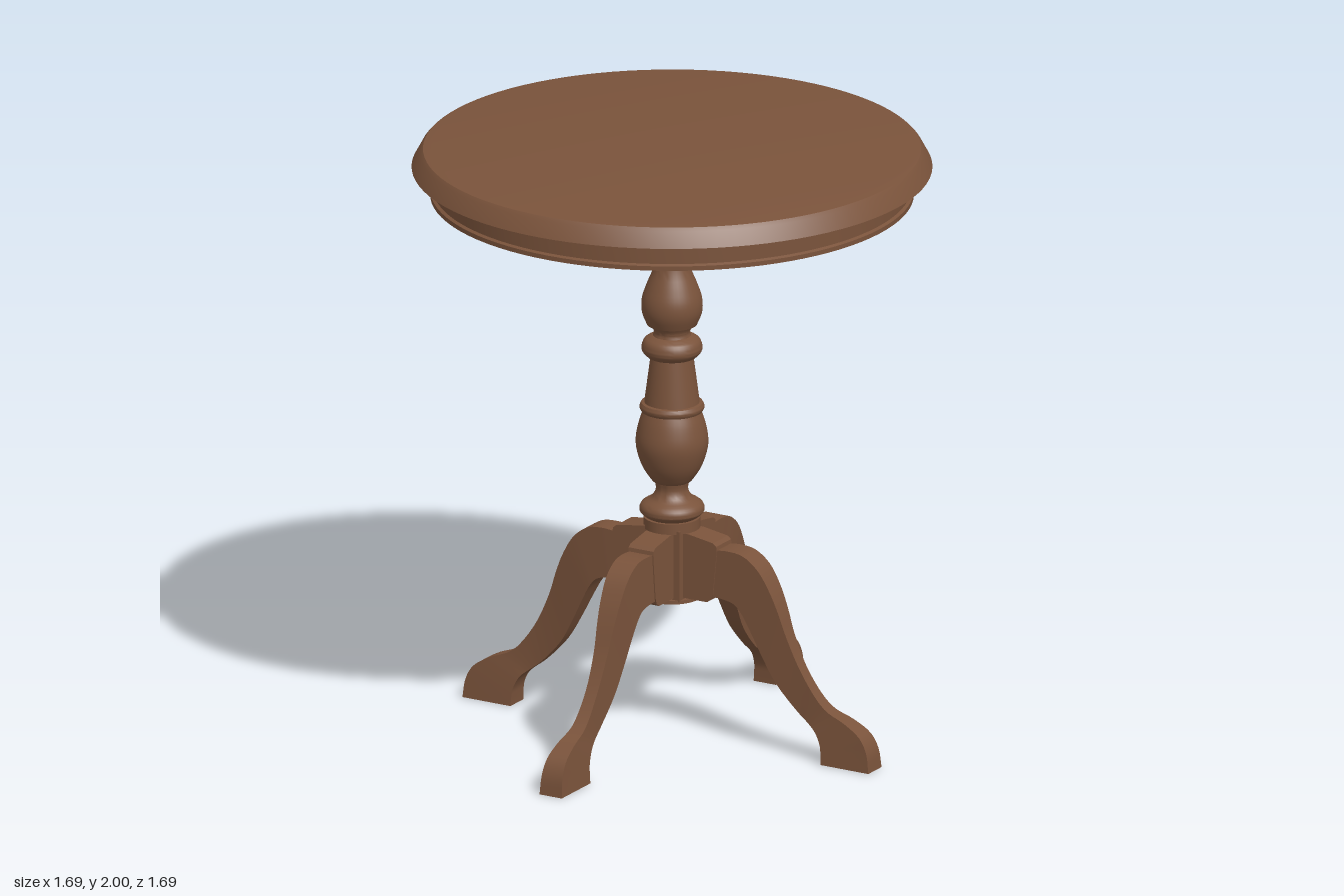
import * as THREE from 'three';
import { toCreasedNormals } from 'three/addons/utils/BufferGeometryUtils.js';

const wood = new THREE.MeshStandardMaterial({ color: 0x7a533b });

function add(parent, name, geometry, y = 0) {
  const mesh = new THREE.Mesh(geometry, wood);
  mesh.name = name;
  mesh.position.y = y;
  parent.add(mesh);
  return mesh;
}

// Turned part from [radius, height] pairs listed bottom to top
function turned(points, segments) {
  const profile = points.map(([r, y]) => new THREE.Vector2(r, y));
  return toCreasedNormals(new THREE.LatheGeometry(profile, segments), 0.6);
}

// Smooth run of [radius, height] pairs
function smooth(points, samples) {
  const curve = new THREE.SplineCurve(points.map(p => new THREE.Vector2(...p)));
  return curve.getPoints(samples).map(p => [p.x, p.y]);
}

// Rectangular section swept between an upper and a lower edge; stations are
// [upperX, upperY, lowerX, lowerY, halfWidth]
function legGeometry(stations, samples) {
  const upper = new THREE.CatmullRomCurve3(stations.map(s => new THREE.Vector3(s[0], s[1], s[4])));
  const lower = new THREE.CatmullRomCurve3(stations.map(s => new THREE.Vector3(s[2], s[3], s[4])));
  const positions = [], index = [];
  for (let i = 0; i <= samples; i++) {
    const a = upper.getPoint(i / samples), b = lower.getPoint(i / samples);
    positions.push(a.x, a.y, a.z, a.x, a.y, -a.z, b.x, b.y, -b.z, b.x, b.y, b.z);
  }
  for (let i = 0; i < samples; i++) {
    for (let k = 0; k < 4; k++) {
      const a = i * 4 + k, b = i * 4 + (k + 1) % 4;
      index.push(a, a + 4, b, b, a + 4, b + 4);
    }
  }
  const e = samples * 4;
  index.push(0, 1, 2, 0, 2, 3, e, e + 2, e + 1, e, e + 3, e + 2);
  const geometry = new THREE.BufferGeometry();
  geometry.setAttribute('position', new THREE.Float32BufferAttribute(positions, 3));
  geometry.setIndex(index);
  return toCreasedNormals(geometry, 0.6);
}

export function createModel() {
  const model = new THREE.Group();
  model.name = 'pedestalTable';

  // Round top with sloping rim, apron and small bead below
  add(model, 'tableTop', turned([
    [0, 1.84], [0.785, 1.84], [0.785, 1.855], [0.775, 1.86], [0.775, 1.935],
    [0.845, 1.935], [0.818, 1.985], [0.808, 1.996], [0.78, 2], [0, 2],
  ], 96));

  // Turned column, bottom to top
  add(model, 'column', turned([
    [0, 0.735], [0.07, 0.735],
    ...smooth([[0.085, 0.742], [0.103, 0.757], [0.106, 0.77], [0.098, 0.787], [0.072, 0.803]], 12),
    ...smooth([[0.062, 0.812], [0.052, 0.835], [0.056, 0.86]], 5),
    ...smooth([[0.065, 0.865], [0.095, 0.91], [0.114, 0.965], [0.118, 1.01], [0.107, 1.065], [0.095, 1.1]], 16),
    ...smooth([[0.1, 1.102], [0.106, 1.116], [0.1, 1.13]], 6),
    [0.09, 1.132], [0.07, 1.285],
    ...smooth([[0.08, 1.288], [0.096, 1.305], [0.099, 1.322], [0.09, 1.345], [0.068, 1.358]], 12),
    ...smooth([[0.062, 1.36], [0.059, 1.375], [0.07, 1.395]], 5),
    ...smooth([[0.082, 1.398], [0.098, 1.44], [0.098, 1.485], [0.082, 1.535], [0.06, 1.59],
      [0.048, 1.65], [0.052, 1.725], [0.068, 1.805]], 24),
    ...smooth([[0.075, 1.81], [0.082, 1.825], [0.078, 1.842]], 5),
    [0, 1.842],
  ], 40));

  // Square hub with round plates above and below
  add(model, 'hubCap', new THREE.CylinderGeometry(0.092, 0.092, 0.035, 40), 0.7225);
  add(model, 'hub', new THREE.BoxGeometry(0.14, 0.24, 0.14), 0.595);
  add(model, 'hubBase', new THREE.CylinderGeometry(0.096, 0.096, 0.012, 40), 0.474);

  // Bracket joining each leg to the hub
  const outline = [[0.05, 0.485], [0.16, 0.485], [0.175, 0.495], [0.182, 0.515],
    [0.197, 0.665], [0.195, 0.68], [0.183, 0.69], [0.09, 0.705], [0.05, 0.705]];
  const bracket = new THREE.ExtrudeGeometry(
    new THREE.Shape(outline.map(p => new THREE.Vector2(...p))),
    { depth: 0.094, bevelEnabled: false });
  bracket.translate(0, 0, -0.047);

  // Curved leg, flaring into a foot
  const leg = legGeometry([
    [0.18, 0.665, 0.17, 0.505, 0.043],
    [0.235, 0.67, 0.22, 0.503, 0.043],
    [0.29, 0.663, 0.26, 0.492, 0.042],
    [0.345, 0.625, 0.286, 0.465, 0.041],
    [0.39, 0.555, 0.317, 0.41, 0.037],
    [0.42, 0.485, 0.355, 0.335, 0.032],
    [0.45, 0.4, 0.407, 0.245, 0.026],
    [0.51, 0.28, 0.487, 0.16, 0.022],
    [0.59, 0.185, 0.53, 0.127, 0.025],
    [0.67, 0.15, 0.56, 0.1, 0.031],
    [0.73, 0.112, 0.58, 0.06, 0.036],
    [0.757, 0.065, 0.584, 0.03, 0.039],
    [0.767, 0, 0.586, 0, 0.042],
  ], 48);

  ['left', 'back', 'right', 'front'].forEach((side, i) => {
    const group = new THREE.Group();
    group.name = side + 'Leg';
    group.rotation.y = i * Math.PI / 2;
    add(group, 'bracket', bracket);
    add(group, 'leg', leg);
    model.add(group);
  });

  return model;
}
